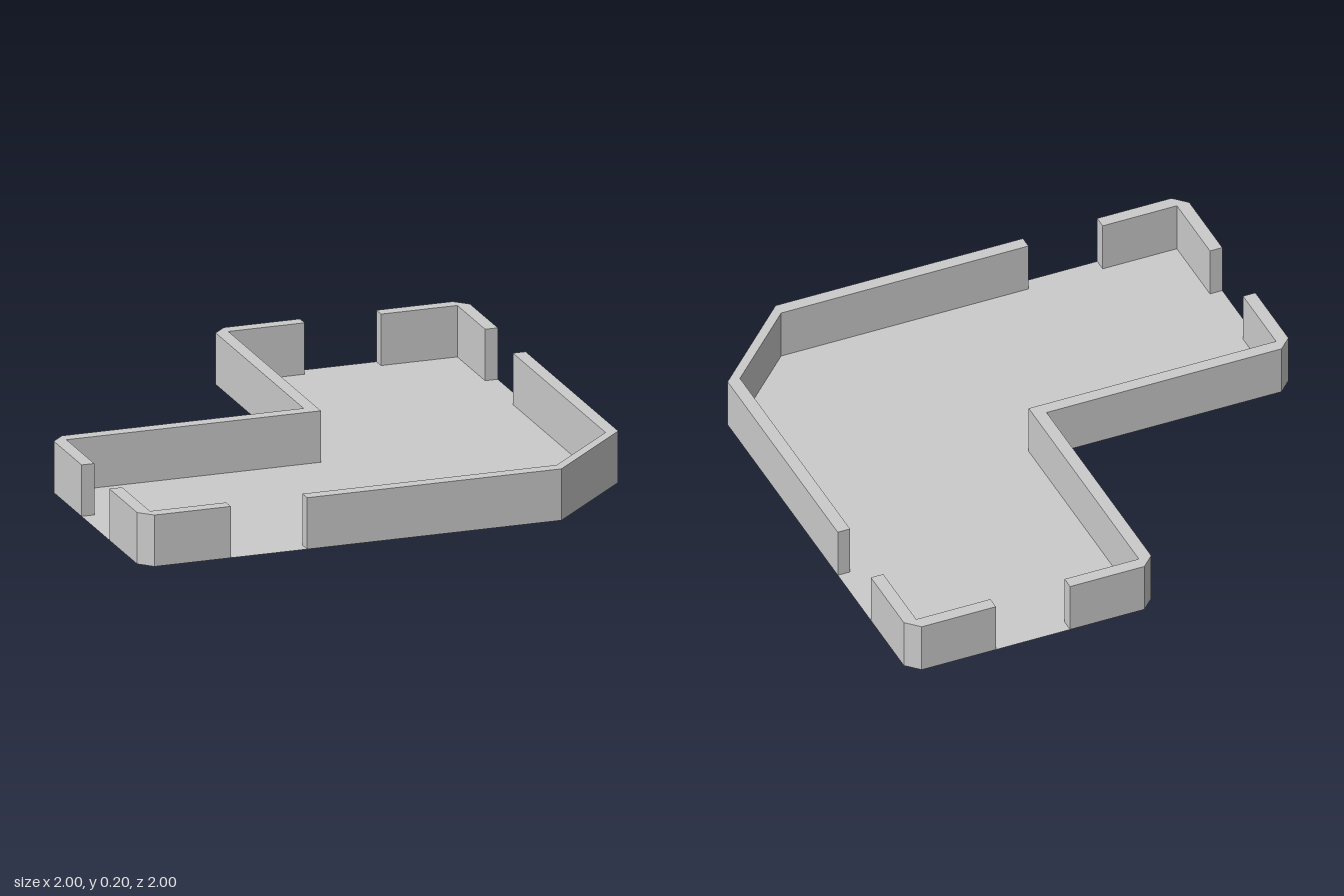
import * as THREE from 'three';

const HEIGHT = 0.2;
const material = new THREE.MeshStandardMaterial({ color: 0xcccccc, flatShading: true, side: THREE.DoubleSide });

// Wall runs as [x, z] points, clockwise seen from above; a doorway lies between each run and the next
const walls = [
  {
    name: 'backLeftCornerWall',
    outer: [[0.65, -1], [0.95, -1], [1, -0.95], [1, -0.65]],
    inner: [[0.65, -0.95], [0.95, -0.95], [0.95, -0.65]],
  },
  {
    name: 'bevelledCornerWall',
    outer: [[1, -0.35], [1, 0.65], [0.65, 1], [-0.35, 1]],
    inner: [[0.95, -0.35], [0.95, 0.65], [0.65, 0.95], [-0.35, 0.95]],
  },
  {
    name: 'frontRightCornerWall',
    outer: [[-0.65, 1], [-0.95, 1], [-1, 0.95], [-1, 0.65]],
    inner: [[-0.65, 0.95], [-0.95, 0.95], [-0.95, 0.65]],
  },
  {
    name: 'innerCornerWall',
    outer: [[-1, 0.35], [-1, 0.05], [-0.95, 0], [0, 0], [0, -0.95], [0.05, -1], [0.35, -1]],
    inner: [[-0.95, 0.35], [-0.95, 0.05], [0.05, 0.05], [0.05, -0.95], [0.35, -0.95]],
  },
];

// Flat upward-facing sheet with the given outline
function sheet(name, outline, y) {
  const shape = new THREE.Shape(outline.map(([x, z]) => new THREE.Vector2(x, -z)));
  const geometry = new THREE.ShapeGeometry(shape).rotateX(-Math.PI / 2).translate(0, y, 0);
  const mesh = new THREE.Mesh(geometry, material);
  mesh.name = name;
  return mesh;
}

// Upright faces around an outline, open at the bottom
function sides(name, outline) {
  const positions = [];
  outline.forEach(([ax, az], i) => {
    const [bx, bz] = outline[(i + 1) % outline.length];
    positions.push(bx, 0, bz, ax, 0, az, ax, HEIGHT, az);
    positions.push(bx, 0, bz, ax, HEIGHT, az, bx, HEIGHT, bz);
  });
  const geometry = new THREE.BufferGeometry();
  geometry.setAttribute('position', new THREE.Float32BufferAttribute(positions, 3));
  geometry.computeVertexNormals();
  const mesh = new THREE.Mesh(geometry, material);
  mesh.name = name;
  return mesh;
}

export function createModel() {
  const model = new THREE.Group();
  model.name = 'cornerRoom';

  // Floor follows the inner wall faces and reaches the outer edge in the doorways
  const floorOutline = walls.flatMap(({ outer, inner }) => [outer[0], ...inner, outer[outer.length - 1]]);
  model.add(sheet('floor', floorOutline, 0));

  // Hollow walls: a top cap over a ring of upright faces
  for (const { name, outer, inner } of walls) {
    const outline = [...outer, ...[...inner].reverse()];
    const wall = new THREE.Group();
    wall.name = name;
    wall.add(sheet('wallTop', outline, HEIGHT), sides('wallSides', outline));
    model.add(wall);
  }
  return model;
}
